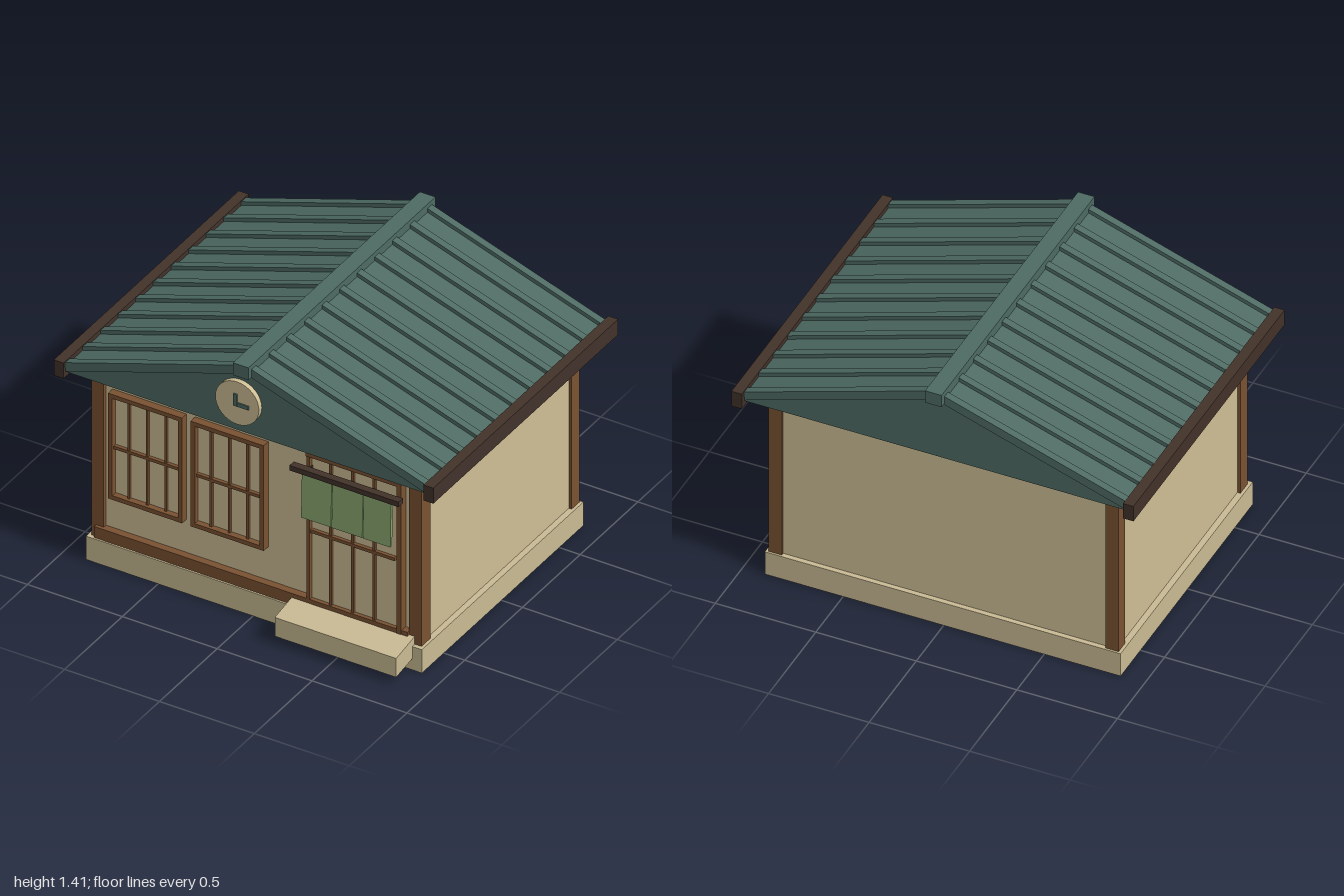
import * as THREE from 'three';

const mat = (name, color) => {
  const m = new THREE.MeshStandardMaterial({ color });
  m.name = name;
  return m;
};

export function createModel() {
  const plaster = mat('plaster', 0xcfbf95);
  const stone = mat('stone', 0xcabb94);
  const teal = mat('roofTeal', 0x4e6b64);
  const wood = mat('wood', 0x7a5232);
  const dark = mat('darkWood', 0x42322a);
  const green = mat('curtainGreen', 0x88a56c);

  const house = new THREE.Group();
  house.name = 'house';

  // Box given by its limits on each axis
  const box = (name, m, x0, x1, y0, y1, z0, z1, parent = house) => {
    const mesh = new THREE.Mesh(new THREE.BoxGeometry(x1 - x0, y1 - y0, z1 - z0), m);
    mesh.position.set((x0 + x1) / 2, (y0 + y1) / 2, (z0 + z1) / 2);
    mesh.name = name;
    parent.add(mesh);
    return mesh;
  };
  // Outline in the xy plane extruded from z0 to z1
  const prism = (name, m, pts, z0, z1, parent = house) => {
    const shape = new THREE.Shape(pts.map(p => new THREE.Vector2(...p)));
    const geo = new THREE.ExtrudeGeometry(shape, { depth: z1 - z0, bevelEnabled: false });
    geo.translate(0, 0, z0);
    const mesh = new THREE.Mesh(geo, m);
    mesh.name = name;
    parent.add(mesh);
    return mesh;
  };
  const group = name => {
    const g = new THREE.Group();
    g.name = name;
    house.add(g);
    return g;
  };

  // Base, walls and corner posts
  box('plinth', stone, -0.88, 0.89, 0, 0.127, -0.71, 0.69);
  box('walls', plaster, -0.85, 0.86, 0.12, 1.03, -0.685, 0.648);
  for (const [x0, x1] of [[-0.865, -0.8], [0.81, 0.875]]) {
    box('frontPost', wood, x0, x1, 0.127, 1.025, 0.59, 0.668);
    box('backPost', wood, x0, x1, 0.127, 1.025, -0.7, -0.632);
  }
  box('sillBeam', wood, -0.84, 0.81, 0.13, 0.19, 0.64, 0.685);

  // Entrance step with a gently sloping top
  const step = prism('entranceStep', stone,
    [[-0.83, 0.04], [-0.67, 0.065], [-0.67, 0.17], [-0.83, 0.142]], 0.2, 0.84);
  step.rotation.y = Math.PI / 2;

  // Windows: frame, mullions and a middle rail
  const makeWindow = (x0, x1) => {
    const g = group('window');
    const y0 = 0.37, y1 = 0.94, t = 0.022, z = 0.64, f = 0.688;
    box('frameLeft', wood, x0, x0 + t, y0, y1, z, f, g);
    box('frameRight', wood, x1 - t, x1, y0, y1, z, f, g);
    box('frameTop', wood, x0 + t, x1 - t, y1 - t, y1, z, f, g);
    box('frameBottom', wood, x0 + t, x1 - t, y0, y0 + t, z, f, g);
    box('pane', plaster, x0 + t, x1 - t, y0 + t, y1 - t, 0.65, 0.658, g);
    for (let i = 1; i < 4; i++) {
      const x = x0 + (x1 - x0) * i / 4;
      box('mullion', wood, x - 0.006, x + 0.006, y0 + t, y1 - t, z, 0.672, g);
    }
    box('middleRail', wood, x0 + t, x1 - t, 0.638, 0.654, z, 0.675, g);
  };
  makeWindow(-0.765, -0.375);
  makeWindow(-0.33, 0.055);

  // Sliding door
  const door = group('door');
  box('doorPanel', plaster, 0.28, 0.76, 0.17, 0.965, 0.64, 0.665, door);
  box('jambLeft', wood, 0.278, 0.296, 0.17, 0.985, 0.64, 0.685, door);
  box('jambRight', wood, 0.757, 0.78, 0.17, 0.985, 0.64, 0.69, door);
  box('lintel', wood, 0.278, 0.78, 0.963, 0.985, 0.64, 0.69, door);
  box('doorRail', wood, 0.296, 0.74, 0.55, 0.567, 0.64, 0.682, door);
  for (const x of [0.4, 0.515, 0.63]) {
    box('doorBar', wood, x - 0.007, x + 0.007, 0.17, 0.965, 0.64, 0.678, door);
  }

  // Hanging curtain in three panels below a dark rod
  const curtain = group('curtain');
  box('rod', dark, 0.215, 0.79, 0.885, 0.912, 0.69, 0.727, curtain);
  for (const x of [0.29, 0.768]) {
    box('rodBracket', dark, x - 0.01, x + 0.01, 0.888, 0.908, 0.66, 0.7, curtain);
  }
  [0.275, 0.436, 0.601].forEach((x, i) => {
    const panel = box('curtainPanel', green, x, [0.432, 0.597, 0.745][i], 0.65, 0.89, 0.706, 0.722, curtain);
    panel.rotation.x = -0.03;
  });

  // Gable block that closes the roof front, back and underside
  prism('gables', teal, [[-0.96, 1.02], [0.96, 1.02], [0.96, 1.045], [0, 1.365], [-0.96, 1.045]], -0.79, 0.74);

  // Roof slopes with raised seams
  const roof = group('roof');
  for (const s of [-1, 1]) {
    const order = pts => (s > 0 ? pts : pts.reverse());
    const strip = (name, lo, hi, z0, z1) => prism(name, teal, order([
      [0, 1.35 + lo], [s * 0.96, 1.03 + lo], [s * 0.96, 1.03 + hi], [0, 1.35 + hi],
    ]), z0, z1, roof);
    strip('roofSlope', 0, 0.028, -0.803, 0.757);
    for (let i = 0; i < 11; i++) {
      const z = 0.74 - i * 0.1525;
      strip('roofSeam', 0.02, 0.048, z - 0.019, z + 0.019);
    }
    box('eaveBeam', dark, s > 0 ? 0.948 : -1, s > 0 ? 1 : -0.948, 1.003, 1.087, -0.83, 0.772, roof);
  }
  box('ridgeCap', teal, -0.048, 0.034, 1.343, 1.41, -0.835, 0.785, roof);

  // Round clock on the front gable
  const clock = group('clock');
  const face = new THREE.Mesh(new THREE.CylinderGeometry(0.115, 0.115, 0.04, 32), plaster);
  face.name = 'clockFace';
  face.rotation.x = Math.PI / 2;
  face.position.set(-0.038, 1.183, 0.745);
  clock.add(face);
  box('clockHandUp', teal, -0.056, -0.036, 1.168, 1.232, 0.763, 0.772, clock);
  box('clockHandSide', teal, -0.056, 0.024, 1.168, 1.188, 0.764, 0.771, clock);

  return house;
}
